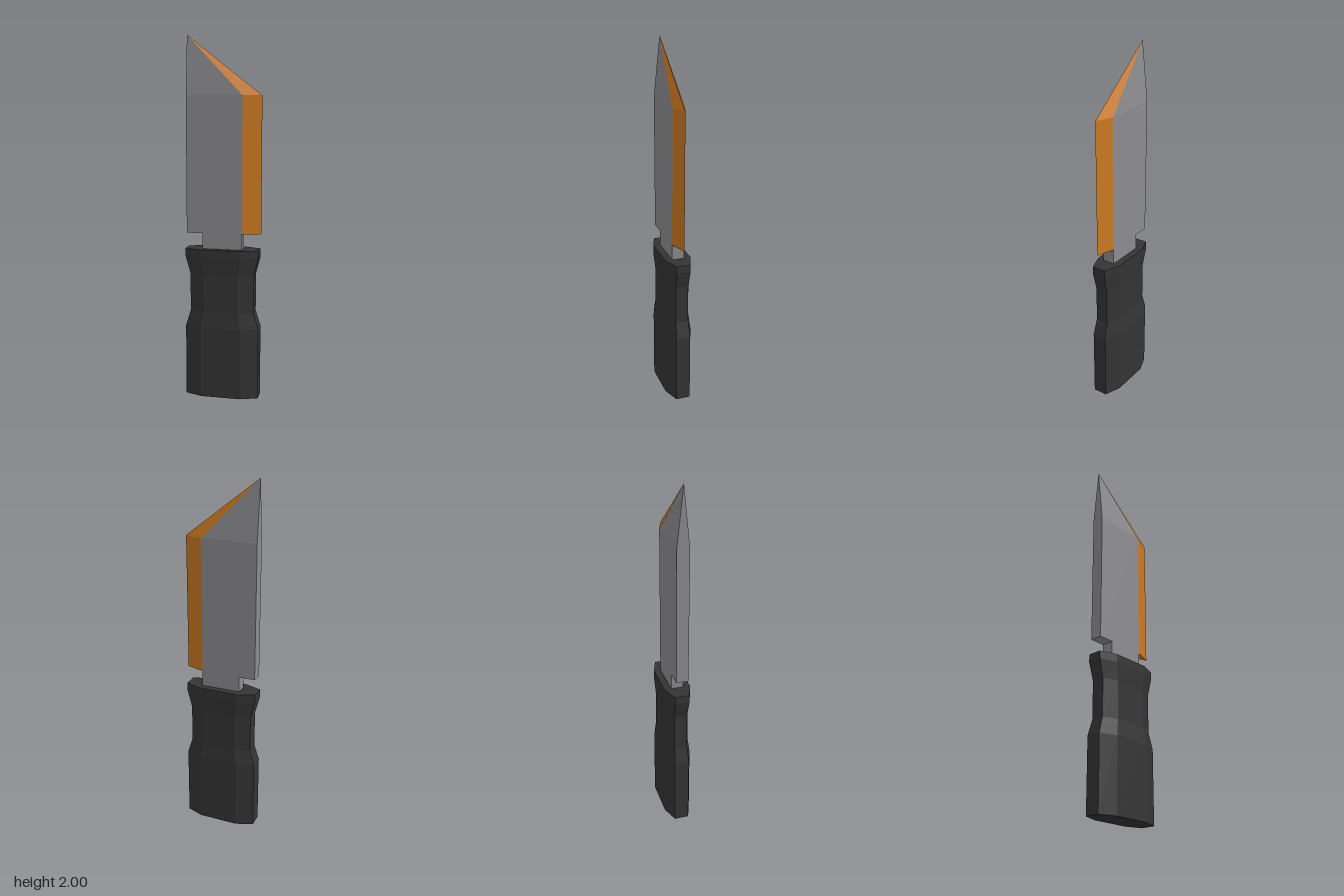
import * as THREE from 'three';

const steel = new THREE.MeshStandardMaterial({ color: 0x8c8c90, flatShading: true });
steel.name = 'steel grey';
const edgeOrange = new THREE.MeshStandardMaterial({ color: 0xcc7a22, flatShading: true });
edgeOrange.name = 'edge orange';
const gripBlack = new THREE.MeshStandardMaterial({ color: 0x343434, flatShading: true });
gripBlack.name = 'grip black';

// Flat-faced mesh from convex polygons, corners counter-clockwise from outside
function facetMesh(name, material, faces) {
  const positions = [];
  for (const f of faces) {
    for (let i = 1; i < f.length - 1; i++) positions.push(...f[0], ...f[i], ...f[i + 1]);
  }
  const geometry = new THREE.BufferGeometry();
  geometry.setAttribute('position', new THREE.Float32BufferAttribute(positions, 3));
  geometry.computeVertexNormals();
  const mesh = new THREE.Mesh(geometry, material);
  mesh.name = name;
  return mesh;
}

// Faces on the front side plus their mirror images on the back
const mirrorZ = (faces) => [
  ...faces,
  ...faces.map((f) => f.map(([x, y, z]) => [x, y, -z]).reverse()),
];

// Eight-sided grip lofted through levels of [y, minX, maxX, halfDepth]
function createHandle() {
  const levels = [
    [0, -0.212, 0.2, 0.075],
    [0.4, -0.212, 0.2, 0.075],
    [0.49, -0.185, 0.173, 0.066],
    [0.7, -0.185, 0.173, 0.066],
    [0.8, -0.212, 0.198, 0.073],
    [0.843, -0.212, 0.198, 0.073],
  ];
  const rings = levels.map(([y, a, b, d]) => {
    const c = (b - a) * 0.23, e = d * 0.54;
    return [
      [a, y, e], [a + c, y, d], [b - c, y, d], [b, y, e],
      [b, y, -e], [b - c, y, -d], [a + c, y, -d], [a, y, -e],
    ];
  });
  const faces = [[...rings[0]].reverse(), rings[rings.length - 1]];
  for (let r = 0; r < rings.length - 1; r++) {
    for (let i = 0; i < 8; i++) {
      const j = (i + 1) % 8;
      faces.push([rings[r][i], rings[r][j], rings[r + 1][j], rings[r + 1][i]]);
    }
  }
  return facetMesh('handle', gripBlack, faces);
}

function createBlade() {
  const spine = -0.205, ridge = 0.105, edge = 0.207, h = 0.034, y0 = 0.93, y1 = 1.68;
  const tip = [spine, 2, 0];
  const blade = new THREE.Group();
  blade.name = 'blade';

  // Steel body: flat sides, spine, underside and tapering point
  blade.add(facetMesh('bladeBody', steel, [
    ...mirrorZ([
      [[spine, y0, h], [ridge, y0, h], [ridge, y1, h], [spine, y1, h]],
      [[spine, y1, h], [ridge, y1, h], tip],
    ]),
    [[spine, y0, -h], [spine, y0, h], [spine, y1, h], [spine, y1, -h]],
    [[spine, y1, -h], [spine, y1, h], tip],
    [[spine, y0, -h], [ridge, y0, -h], [ridge, y0, h], [spine, y0, h]],
  ]));

  // Orange bevel along the cutting edge and up to the point
  blade.add(facetMesh('cuttingEdge', edgeOrange, [
    ...mirrorZ([
      [[ridge, y0, h], [edge, y0, 0], [edge, y1, 0], [ridge, y1, h]],
      [[ridge, y1, h], [edge, y1, 0], tip],
    ]),
    [[ridge, y0, h], [ridge, y0, -h], [edge, y0, 0]],
  ]));
  return blade;
}

export function createModel() {
  const knife = new THREE.Group();
  knife.name = 'knife';
  knife.add(createHandle(), createBlade());

  // Tang joining the blade to the handle
  const tang = new THREE.Mesh(new THREE.BoxGeometry(0.22, 0.11, 0.068), steel);
  tang.name = 'tang';
  tang.position.set(-0.005, 0.875, 0);
  knife.add(tang);
  return knife;
}
